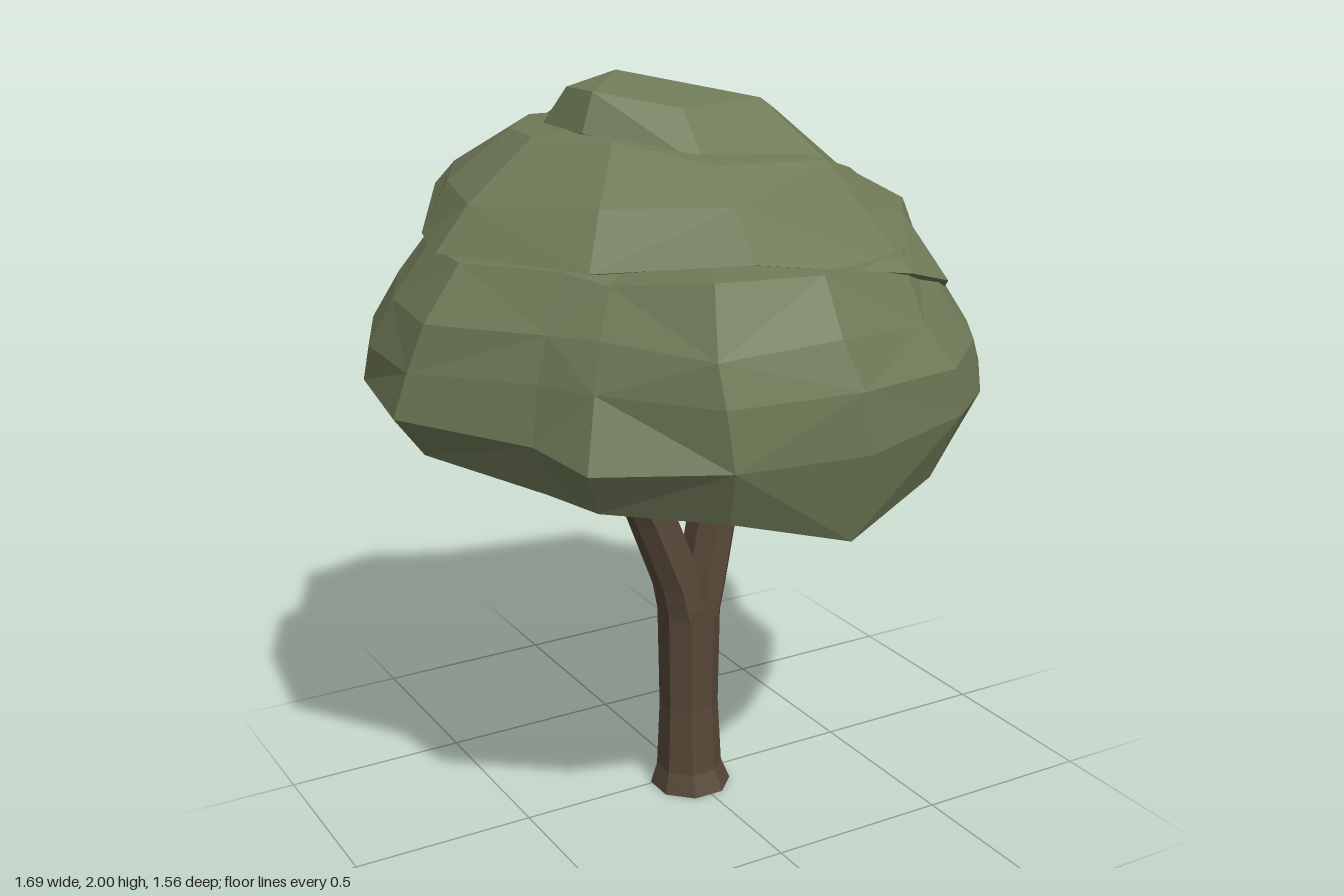
import * as THREE from 'three';

const foliage = new THREE.MeshStandardMaterial({ color: 0x6f7a57, flatShading: true });
const bark = new THREE.MeshStandardMaterial({ color: 0x574838, flatShading: true });
foliage.name = 'leaf green';
bark.name = 'bark brown';

// Small seeded generator returning -1..1
function seeded(seed) {
  let s = seed;
  return () => {
    s = (s * 16807) % 2147483647;
    return (s / 2147483647) * 2 - 1;
  };
}

// Skins closed rings (counter-clockwise from above, bottom to top) and caps both ends
function loft(name, material, rings, bottom, top) {
  const out = [];
  const tri = (a, b, c) => out.push(...a, ...b, ...c);
  const n = rings[0].length;
  for (let i = 0; i < n; i++) {
    const j = (i + 1) % n;
    tri(bottom, rings[0][j], rings[0][i]);
    for (let k = 0; k < rings.length - 1; k++) {
      const a = rings[k][i], b = rings[k][j], c = rings[k + 1][j], d = rings[k + 1][i];
      if ((i + k) % 2) { tri(a, b, c); tri(a, c, d); }
      else { tri(a, b, d); tri(b, c, d); }
    }
    const last = rings[rings.length - 1];
    tri(last[i], last[j], top);
  }
  const g = new THREE.BufferGeometry();
  g.setAttribute('position', new THREE.Float32BufferAttribute(out, 3));
  g.computeVertexNormals();
  const mesh = new THREE.Mesh(g, material);
  mesh.name = name;
  return mesh;
}

// Eight-sided limb along stations [x, y, z, radiusX, radiusZ]
function limb(name, stations) {
  const rings = stations.map(([x, y, z, rx, rz]) =>
    Array.from({ length: 8 }, (_, i) => {
      const a = (i + 0.5) * Math.PI / 4;
      return [x + rx * Math.cos(a), y, z - rz * Math.sin(a)];
    }));
  return loft(name, bark, rings, stations[0].slice(0, 3), stations[stations.length - 1].slice(0, 3));
}

export function createModel() {
  const tree = new THREE.Group();
  tree.name = 'tree';

  // Flared trunk and the two forked branches
  tree.add(
    limb('trunk', [
      [-0.008, 0, 0.035, 0.113, 0.113],
      [-0.012, 0.06, 0.035, 0.092, 0.09],
      [-0.012, 0.25, 0.033, 0.083, 0.08],
      [-0.016, 0.56, 0.04, 0.088, 0.085],
    ]),
    limb('leftForkBranch', [
      [0.005, 0.53, 0.04, 0.066, 0.083],
      [0.02, 0.6, 0.04, 0.066, 0.082],
      [0.1, 0.98, 0.027, 0.064, 0.08],
      [0.16, 1.25, 0.08, 0.05, 0.06],
    ]),
    limb('rightForkBranch', [
      [-0.03, 0.53, 0.04, 0.07, 0.083],
      [-0.05, 0.62, 0.04, 0.068, 0.08],
      [-0.128, 0.82, 0.037, 0.066, 0.072],
      [-0.205, 0.98, 0.035, 0.062, 0.066],
      [-0.3, 1.2, 0.03, 0.045, 0.05],
    ]),
  );

  // Broad lower leaf mass: outline [x, z, rim height offset, fullness of the upper wall]
  const skirt = [
    [0.84, -0.15, 0.0, 1], [0.79, -0.47, 0.0, 0.97], [0.48, -0.78, 0.02, 0.92],
    [0.14, -0.66, 0.04, 1], [-0.2, -0.78, 0.08, 1.07], [-0.46, -0.6, 0.08, 1.03],
    [-0.67, -0.56, 0.08, 1], [-0.8, -0.28, 0.06, 1], [-0.85, 0.05, 0.05, 0.98],
    [-0.63, 0.37, 0.02, 0.96], [-0.59, 0.57, 0.01, 0.9], [-0.32, 0.77, 0.0, 1.01],
    [0.05, 0.78, -0.09, 1.03], [0.39, 0.68, -0.03, 1.05], [0.6, 0.49, 0.0, 1.04],
    [0.72, 0.33, 0.0, 1], [0.74, 0.08, -0.02, 1],
  ];
  // Levels: [y, scale, weight of rim offset, shift x, shift z, tilt along z]
  const skirtLevels = [
    [1.06, 0.45, 0, 0, 0, 0.12], [1.05, 0.91, 1, 0, 0, 0], [1.2, 1, 0.2, 0, 0, 0],
    [1.34, 0.955, 0, -0.03, 0.02, 0], [1.46, 0.86, 0, -0.06, 0.05, 0], [1.6, 0.76, 0, -0.05, 0.04, 0],
  ];
  const rnd = seeded(71);
  const skirtRings = skirtLevels.map(([y, s, w, dx, dz, tilt]) => skirt.map(([x, z, dy, full]) => {
    const f = s * (s === 1 ? 1 : 1 + rnd() * 0.02) * (y > 1.3 ? full : 1);
    return [x * f + dx, y + dy * w + z * f * tilt + rnd() * 0.018, z * f + dz];
  }));
  tree.add(loft('lowerFoliage', foliage, skirtRings, [0, 1.1, 0], [-0.05, 1.66, 0.04]));

  // Middle leaf mass: overhanging lip that drops low on the left and back, shoulder and upper slope
  const lip = [
    [0.84, 1.31, -0.14], [0.79, 1.29, -0.46], [0.49, 1.19, -0.77], [0.15, 1.33, -0.65],
    [-0.24, 1.64, -0.61], [-0.46, 1.66, -0.57], [-0.65, 1.61, -0.21], [-0.71, 1.61, 0.02],
    [-0.49, 1.61, 0.4], [-0.18, 1.64, 0.62], [0.26, 1.57, 0.63], [0.47, 1.5, 0.5],
    [0.73, 1.34, 0.13],
  ];
  const shoulder = [
    [0.62, 1.64, -0.02], [0.66, 1.57, -0.32], [0.57, 1.55, -0.52], [0.15, 1.65, -0.48],
    [-0.22, 1.71, -0.59], [-0.43, 1.73, -0.5], [-0.58, 1.74, -0.2], [-0.62, 1.72, 0.02],
    [-0.42, 1.74, 0.32], [-0.16, 1.75, 0.5], [0.24, 1.69, 0.46], [0.44, 1.65, 0.34],
    [0.55, 1.65, 0.19],
  ];
  const slope = [
    [0.37, 1.75, -0.05], [0.42, 1.7, -0.36], [0.3, 1.77, -0.38], [0.1, 1.83, -0.36],
    [-0.15, 1.86, -0.35], [-0.3, 1.87, -0.3], [-0.44, 1.87, -0.12], [-0.45, 1.87, 0.03],
    [-0.32, 1.87, 0.2], [-0.15, 1.83, 0.4], [0.18, 1.81, 0.37], [0.3, 1.77, 0.3],
    [0.37, 1.75, 0.15],
  ];
  const underLip = lip.map(([x, y, z]) => [x * 0.86, y - 0.02, z * 0.86]);
  tree.add(loft('middleFoliage', foliage, [underLip, lip, shoulder, slope], [0, 1.45, 0], [-0.1, 1.9, 0]));

  // Crest at the top, steep on its left side
  const crestFoot = [
    [0.37, 1.73, 0.2], [0.43, 1.71, -0.1], [0.41, 1.69, -0.37], [0.1, 1.82, -0.38],
    [-0.25, 1.86, -0.32], [-0.36, 1.86, -0.12], [-0.35, 1.88, 0.1], [-0.15, 1.81, 0.36],
    [0.2, 1.8, 0.35],
  ];
  const crestTop = [
    [0.2, 1.9, 0.1], [0.21, 1.91, -0.12], [0.2, 1.88, -0.26], [0.02, 1.91, -0.26],
    [-0.2, 1.95, -0.18], [-0.31, 1.97, -0.06], [-0.31, 1.975, 0.08], [-0.14, 1.94, 0.22],
    [0.12, 1.94, 0.16],
  ];
  tree.add(loft('topFoliage', foliage, [crestFoot, crestTop], [0, 1.72, 0], [-0.16, 2, -0.08]));

  return tree;
}
